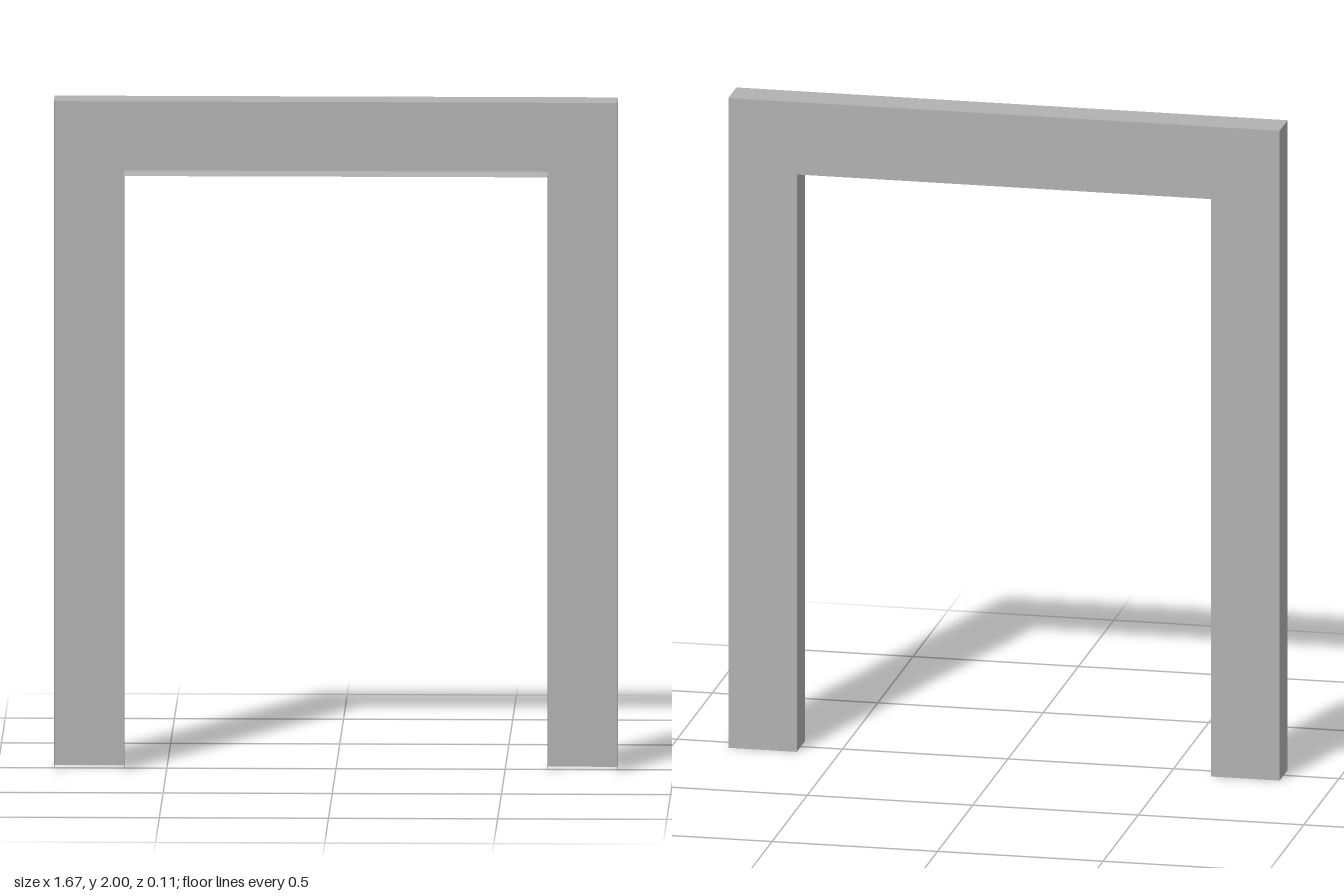
import * as THREE from 'three';

const OUT = 0.833, IN = 0.626, TOP = 2, HEAD = 1.777, HALF = 0.057;

export function createModel() {
  const group = new THREE.Group();
  const grey = new THREE.MeshStandardMaterial({ color: 0xb2b2b2, side: THREE.DoubleSide });
  grey.name = 'grey sheet metal';

  function add(name, geometry) {
    const mesh = new THREE.Mesh(geometry, grey);
    mesh.name = name;
    group.add(mesh);
    return mesh;
  }

  // Flat back plate: an upside-down U, facing backwards
  const outline = new THREE.Shape([
    [-OUT, 0], [-IN, 0], [-IN, HEAD], [IN, HEAD], [IN, 0], [OUT, 0], [OUT, TOP], [-OUT, TOP],
  ].map(([x, y]) => new THREE.Vector2(x, y)));
  const plate = add('backPlate', new THREE.ShapeGeometry(outline));
  plate.rotation.y = Math.PI;
  plate.position.z = -HALF;

  // Upright flanges on both legs; the front and the feet stay open
  for (const [side, s] of [['left', 1], ['right', -1]]) {
    const outer = add(side + 'OuterFlange', new THREE.PlaneGeometry(2 * HALF, TOP));
    outer.rotation.y = s * Math.PI / 2;
    outer.position.set(s * OUT, TOP / 2, 0);
    const inner = add(side + 'InnerFlange', new THREE.PlaneGeometry(2 * HALF, HEAD));
    inner.rotation.y = -s * Math.PI / 2;
    inner.position.set(s * IN, HEAD / 2, 0);
  }

  // Horizontal flanges of the header
  const top = add('topFlange', new THREE.PlaneGeometry(2 * OUT, 2 * HALF));
  top.rotation.x = -Math.PI / 2;
  top.position.y = TOP;
  const soffit = add('soffitFlange', new THREE.PlaneGeometry(2 * IN, 2 * HALF));
  soffit.rotation.x = Math.PI / 2;
  soffit.position.y = HEAD;

  return group;
}
